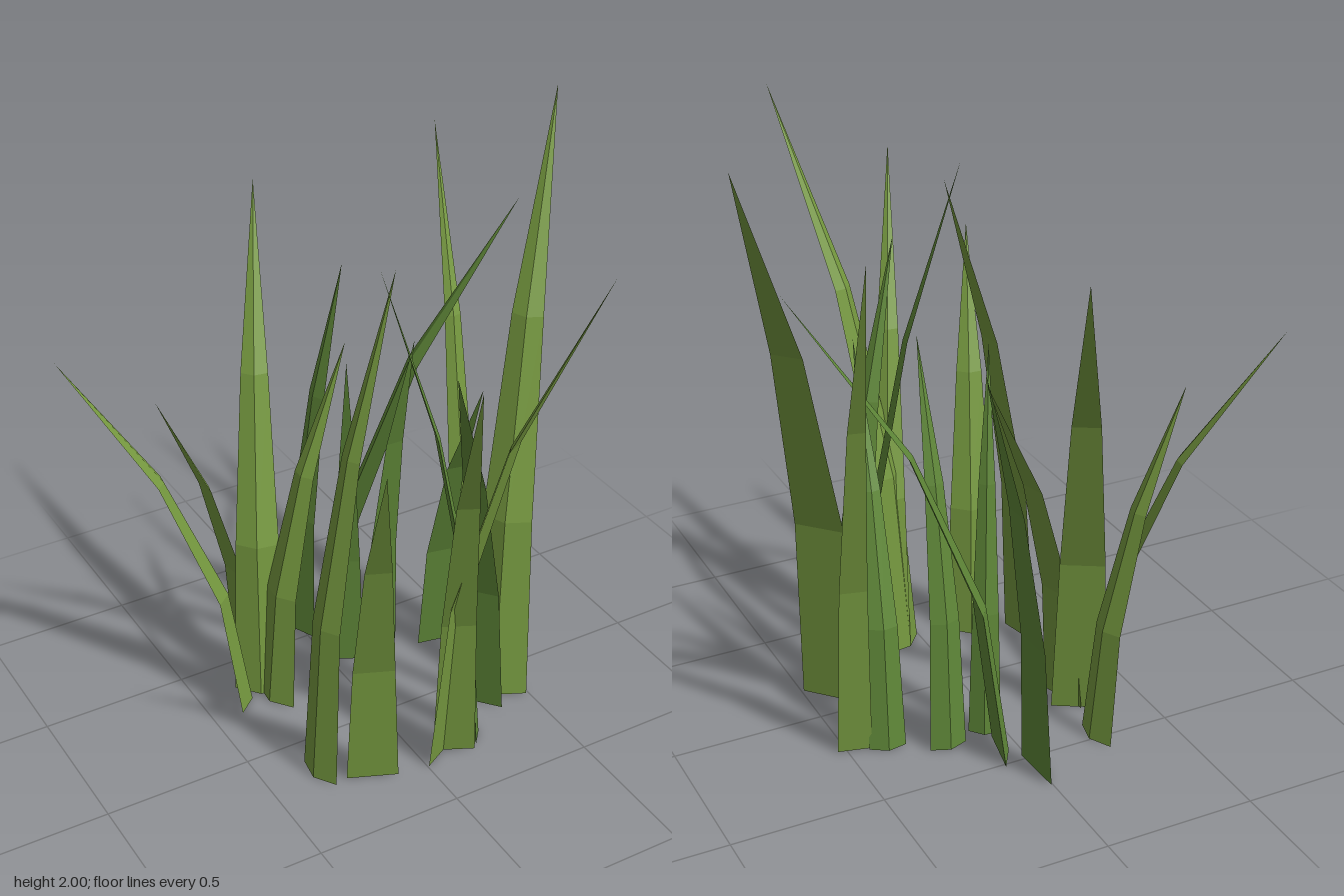
import * as THREE from 'three';

// Each blade: base x, base z, tip x, tip z, height, half width, deep colour?
const BLADES = [
  [-0.36, -0.30, -0.83, -0.56, 1.33, 0.08, 0],
  [-0.25, -0.49, -0.55, -0.45, 1.16, 0.075, 0],
  [-0.28, -0.32, -0.03, -0.75, 1.69, 0.09, 0],
  [-0.26, -0.25, 0.08, -0.35, 1.25, 0.085, 0],
  [0.01, -0.57, 0.20, -0.58, 1.40, 0.09, 1],
  [0.07, -0.43, 0.70, -0.30, 1.63, 0.085, 1],
  [0.475, -0.22, 0.575, -0.62, 1.81, 0.055, 0],
  [0.42, 0.09, 0.825, -0.29, 2.00, 0.105, 0],
  [0.375, -0.25, 0.30, 0.13, 1.25, 0.06, 1],
  [0.20, -0.33, 0.195, -0.11, 1.34, 0.062, 1],
  [0.06, -0.31, -0.02, -0.165, 1.29, 0.052, 1],
  [-0.32, 0.17, 0.00, 0.10, 1.73, 0.08, 0],
  [0.22, 0.245, -0.08, 0.145, 1.77, 0.06, 1],
  [0.33, 0.13, 0.06, 0.355, 1.47, 0.075, 1],
  [0.12, 0.29, -0.09, 0.715, 1.65, 0.07, 0],
  [0.07, 0.285, 0.32, 0.735, 1.905, 0.075, 0],
  [-0.18, 0.27, -0.315, 0.585, 1.38, 0.085, 0],
];

// Triangular section, flat towards the lean and ridged behind, in three segments
function bladeGeometry(bx, bz, tx, tz, height, half) {
  const lean = new THREE.Vector3(tx - bx, 0, tz - bz);
  const dir = lean.clone().normalize();
  const side = new THREE.Vector3(dir.z, 0, -dir.x);
  const ring = (t, scale) => {
    const c = new THREE.Vector3(bx, t * height, bz).addScaledVector(lean, t * t);
    const w = half * scale;
    return [
      c.clone().addScaledVector(side, w),
      c.clone().addScaledVector(dir, -0.38 * w),
      c.clone().addScaledVector(side, -w),
    ];
  };
  const rings = [ring(0, 1), ring(1 / 3, 0.8), ring(2 / 3, 0.5)];
  const tip = new THREE.Vector3(tx, height, tz);
  const points = [rings[0][0], rings[0][2], rings[0][1]]; // base cap
  for (let i = 0; i < 3; i++) {
    const j = (i + 1) % 3;
    for (let k = 0; k < 2; k++) {
      const a = rings[k], b = rings[k + 1];
      points.push(a[i], a[j], b[j], a[i], b[j], b[i]);
    }
    points.push(rings[2][i], rings[2][j], tip);
  }
  const geometry = new THREE.BufferGeometry().setFromPoints(points);
  geometry.computeVertexNormals();
  return geometry;
}

export function createModel() {
  const group = new THREE.Group();
  group.name = 'grassTuft';
  const olive = new THREE.MeshStandardMaterial({ color: 0x75983f });
  olive.name = 'olive green';
  const deep = new THREE.MeshStandardMaterial({ color: 0x5f8738 });
  deep.name = 'deep green';

  BLADES.forEach(([bx, bz, tx, tz, h, w, isDeep], i) => {
    const blade = new THREE.Mesh(bladeGeometry(bx, bz, tx, tz, h, w), isDeep ? deep : olive);
    blade.name = `grassBlade${i + 1}`;
    group.add(blade);
  });
  return group;
}
